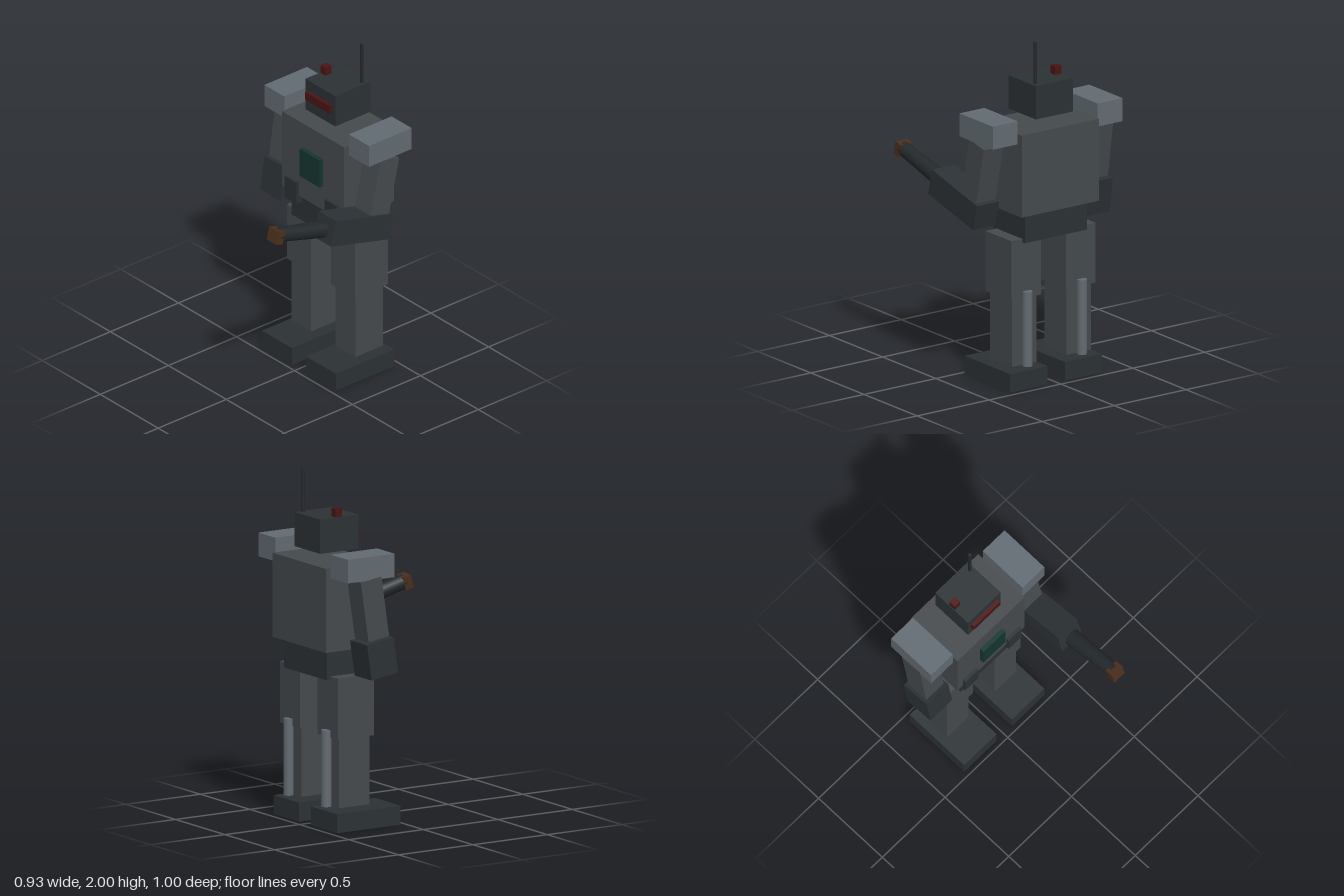
import * as THREE from 'three';

const paint = (color) => new THREE.MeshStandardMaterial({ color });

export function createModel() {
  const model = new THREE.Group();
  model.name = 'robot';
  const steel = paint(0x44494c), dark = paint(0x2b3134), light = paint(0x616a71);
  const red = paint(0x4a1414), green = paint(0x14352f), brown = paint(0x4a2e1c), black = paint(0x22282a);
  const midX = 0.003;

  function add(parent, name, geometry, material, x, y, z) {
    const mesh = new THREE.Mesh(geometry, material);
    mesh.name = name;
    mesh.position.set(x, y, z);
    parent.add(mesh);
    return mesh;
  }
  // box from its size and centre
  const box = (parent, name, mat, [w, h, d], [x, y, z]) =>
    add(parent, name, new THREE.BoxGeometry(w, h, d), mat, x, y, z);
  // tilted group, used for arm segments
  function joint(name, x, y, z, tilt) {
    const g = new THREE.Group();
    g.name = name;
    g.position.set(x, y, z);
    g.rotation.x = tilt;
    model.add(g);
    return g;
  }

  // body
  box(model, 'torso', steel, [0.537, 0.48, 0.365], [midX, 1.265, -0.317]);
  box(model, 'pelvis', dark, [0.433, 0.18, 0.298], [midX, 0.945, -0.309]);
  box(model, 'chestPanel', green, [0.175, 0.174, 0.04], [midX, 1.265, -0.128]);

  // head
  box(model, 'head', dark, [0.258, 0.195, 0.257], [midX, 1.658, -0.316]);
  box(model, 'visor', red, [0.21, 0.05, 0.04], [midX, 1.665, -0.185]);
  box(model, 'headLamp', red, [0.043, 0.05, 0.043], [-0.101, 1.78, -0.317]);
  add(model, 'antenna', new THREE.CylinderGeometry(0.01, 0.01, 0.245, 10), black, 0.107, 1.8775, -0.403);

  for (const s of [-1, 1]) {
    const side = s > 0 ? 'left' : 'right';
    // shoulder pad and hip pouch
    box(model, side + 'ShoulderPad', light, [0.173, 0.135, 0.313], [midX + s * 0.365, 1.518, -0.317]);
    box(model, side + 'HipPouch', dark, [0.103, 0.135, 0.06], [midX + s * 0.173, 1.048, -0.145]);
    // leg
    const legX = midX + s * 0.19;
    box(model, side + 'Thigh', steel, [0.206, 0.35, 0.243], [legX, 0.7, -0.313]);
    box(model, side + 'Shin', steel, [0.17, 0.43, 0.205], [legX, 0.345, -0.3125]);
    box(model, side + 'Foot', dark, [0.259, 0.108, 0.428], [legX, 0.054, -0.245]);
    add(model, side + 'CalfPiston', new THREE.CylinderGeometry(0.029, 0.029, 0.437, 16), light,
      legX, 0.3485, -0.444);
  }

  // right arm hangs down, swung slightly forward
  const rightArm = joint('rightArm', -0.381, 1.45, -0.317, -0.15);
  box(rightArm, 'rightUpperArm', steel, [0.138, 0.35, 0.14], [0, -0.17, 0]);
  box(rightArm, 'rightForearm', dark, [0.172, 0.207, 0.18], [0, -0.457, -0.003]);

  // left arm points a gun forward
  const leftUpper = joint('leftUpperArmJoint', 0.383, 1.44, -0.317, -0.22);
  box(leftUpper, 'leftUpperArm', steel, [0.136, 0.35, 0.14], [0, -0.175, 0]);
  const gun = joint('leftForearmJoint', 0.386, 1.066, -0.107, -0.25);
  box(gun, 'leftForearm', dark, [0.154, 0.155, 0.437], [0, 0, 0]);
  const barrel = add(gun, 'gunBarrel', new THREE.CylinderGeometry(0.0415, 0.05, 0.346, 20), black, 0, 0.002, 0.413);
  barrel.rotation.x = Math.PI / 2;
  box(gun, 'gunMuzzle', brown, [0.082, 0.078, 0.052], [0, 0, 0.588]);

  return model;
}
